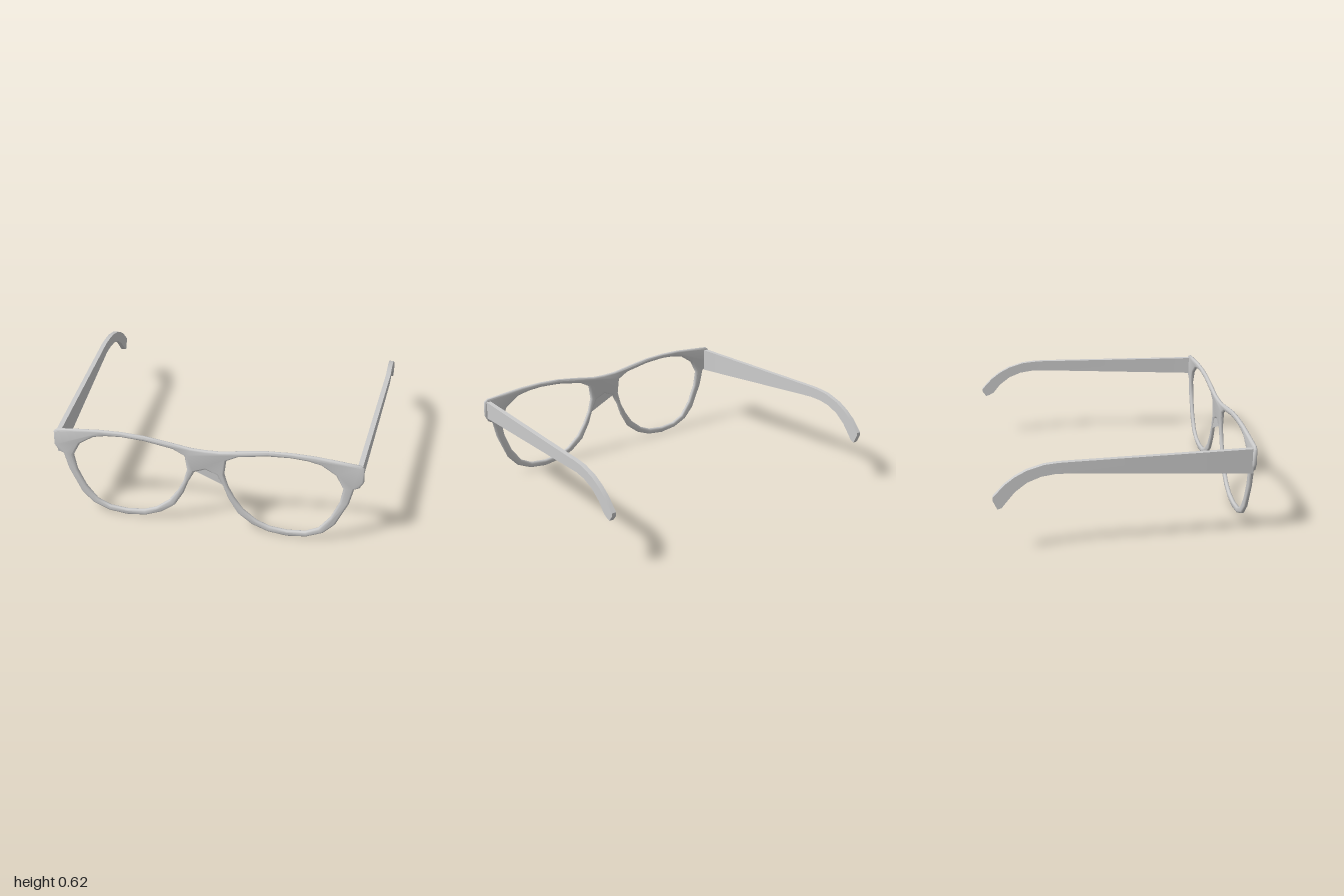
import * as THREE from 'three';
import { toCreasedNormals } from 'three/addons/utils/BufferGeometryUtils.js';

const material = new THREE.MeshStandardMaterial({ color: 0xcccccc });
const thinMaterial = new THREE.MeshStandardMaterial({ color: 0xcccccc, side: THREE.DoubleSide });
const vectors = (points) => points.map(([x, y]) => new THREE.Vector2(x, y));
const mirrored = (points) => points.map(([x, y]) => [-x, y]).reverse();

// Half of the rim outline, from the top of the bridge round to its underside
const halfRim = [
  [0, 0.565], [0.09, 0.568], [0.24, 0.593], [0.38, 0.613], [0.52, 0.62], [0.66, 0.617],
  [0.8, 0.605], [0.93, 0.592], [0.952, 0.575], [0.955, 0.48], [0.93, 0.435], [0.9, 0.42],
  [0.875, 0.31], [0.8, 0.14], [0.73, 0.065], [0.63, 0.02], [0.51, 0.005], [0.39, 0.02],
  [0.29, 0.06], [0.2, 0.13], [0.14, 0.235], [0.11, 0.32], [0.07, 0.4], [0, 0.43],
];

// Opening for one lens
const lensHole = [
  [0.837, 0.415], [0.79, 0.505], [0.7, 0.565], [0.62, 0.583], [0.52, 0.59], [0.38, 0.582],
  [0.2, 0.55], [0.128, 0.51], [0.115, 0.41], [0.14, 0.32], [0.18, 0.24], [0.235, 0.16],
  [0.32, 0.09], [0.4, 0.057], [0.51, 0.045], [0.62, 0.056], [0.7, 0.095], [0.77, 0.19], [0.82, 0.31],
];

function createFrontFrame() {
  const shape = new THREE.Shape(vectors([...halfRim, ...mirrored(halfRim.slice(1, -1))]));
  shape.holes.push(new THREE.Path(vectors(lensHole)), new THREE.Path(vectors(mirrored(lensHole))));
  const geometry = new THREE.ExtrudeGeometry(shape, {
    depth: 0.009, bevelEnabled: true, bevelThickness: 0.008,
    bevelSize: 0.012, bevelOffset: -0.012, bevelSegments: 2,
  });
  geometry.translate(0, 0, 0.763);
  const mesh = new THREE.Mesh(toCreasedNormals(geometry, 0.95), material);
  mesh.name = 'frontFrame';
  return mesh;
}

// Thin web behind the underside of the bridge
function createBridgeWeb() {
  const shape = new THREE.Shape(vectors([[-0.07, 0.4], [0.115, 0.315], [0.08, 0.42], [0, 0.45]]));
  const mesh = new THREE.Mesh(new THREE.ShapeGeometry(shape), thinMaterial);
  mesh.position.z = 0.76;
  mesh.name = 'bridgeWeb';
  return mesh;
}

// Side arm: a (z, y) profile, splayed outwards up to the start of the ear hook
function createTemple(side, hingeBottom, tipBottom) {
  const profile = [
    [0.762, 0.575], [0.762, hingeBottom], [-0.33, 0.507], [-0.42, 0.507], [-0.5, 0.495],
    [-0.58, 0.463], [-0.65, 0.41], [-0.7, 0.35], [-0.73, tipBottom + 0.008], [-0.755, tipBottom],
    [-0.78, 0.36], [-0.78, 0.38], [-0.71, 0.455], [-0.65, 0.5], [-0.58, 0.537],
    [-0.48, 0.567], [-0.4, 0.575], [-0.33, 0.577],
  ];
  const geometry = new THREE.ExtrudeGeometry(new THREE.Shape(vectors(profile)), {
    depth: 0.03, bevelEnabled: false,
  });
  geometry.rotateY(-Math.PI / 2);
  geometry.translate(0.015, 0, 0);
  const position = geometry.attributes.position;
  for (let i = 0; i < position.count; i++) {
    const splay = Math.min(1, (0.762 - position.getZ(i)) / 1.092);
    position.setX(i, position.getX(i) + side * (0.925 + 0.06 * splay));
  }
  geometry.computeVertexNormals();
  const mesh = new THREE.Mesh(toCreasedNormals(geometry, 0.7), material);
  mesh.name = side > 0 ? 'leftTemple' : 'rightTemple';
  return mesh;
}

export function createModel() {
  const group = new THREE.Group();
  group.name = 'eyeglasses';
  group.add(
    createFrontFrame(),
    createBridgeWeb(),
    createTemple(1, 0.46, 0.325),
    createTemple(-1, 0.42, 0.305),
  );
  return group;
}
